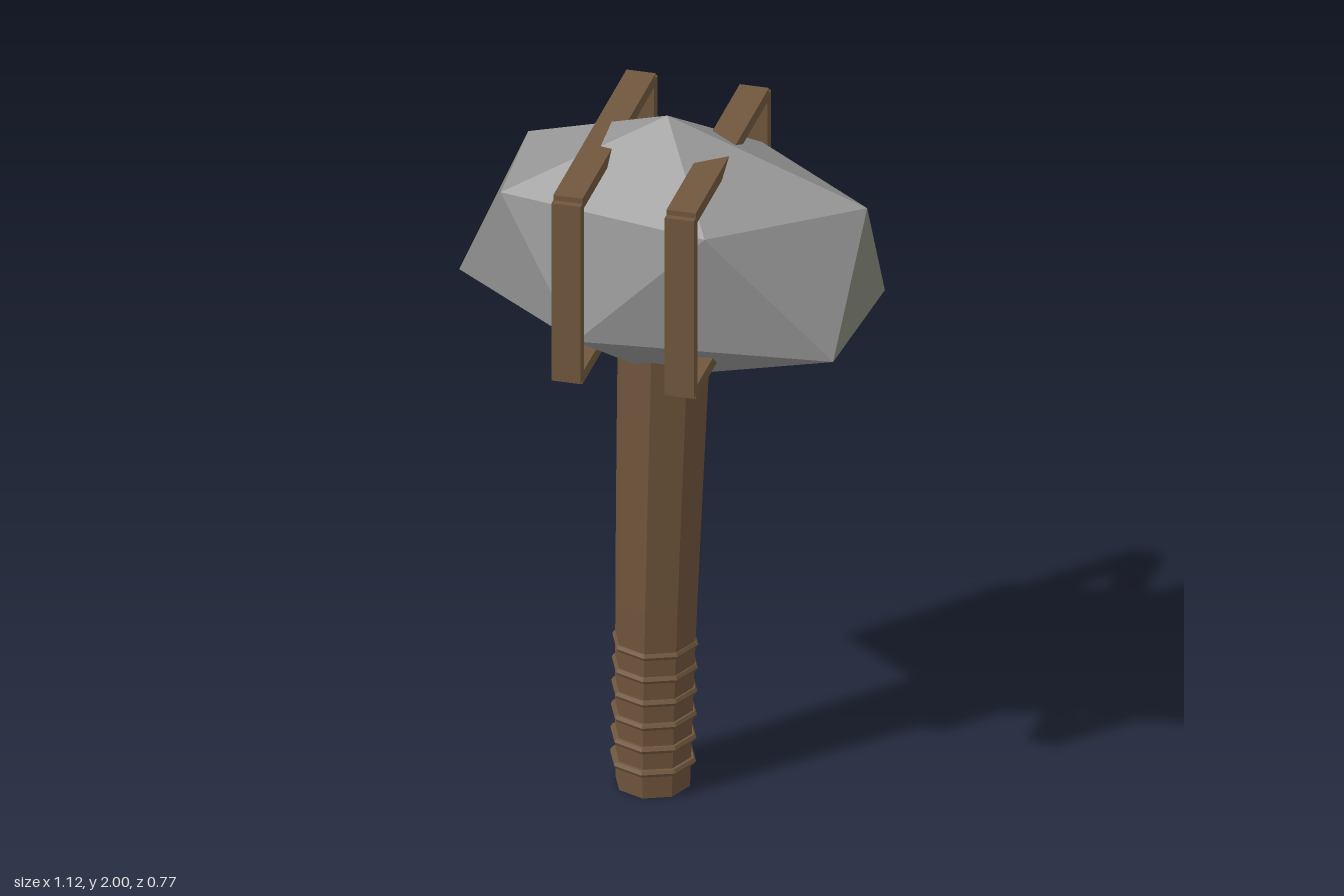
import * as THREE from 'three';

const mat = (name, color) => {
  const m = new THREE.MeshStandardMaterial({ color, flatShading: true });
  m.name = name;
  return m;
};

export function createModel() {
  const stone = mat('grey stone', 0x969696);
  const chipped = mat('mossy stone', 0x86887a);
  const wood = mat('brown wood', 0x70553c);
  const leather = mat('brown leather', 0x71573e);
  const root = new THREE.Group();
  root.name = 'stoneHammer';

  const add = (parent, name, geometry, material, x = 0, y = 0, z = 0) => {
    const mesh = new THREE.Mesh(geometry, material);
    mesh.name = name;
    mesh.position.set(x, y, z);
    parent.add(mesh);
    return mesh;
  };

  // Stone head: two staggered rings of five corners between a peak and a foot
  const peak = [0.01, 2, 0], foot = [0, 1.22, 0];
  const upper = [[-0.4, 1.8, 0.17], [0.19, 1.8, 0.285], [0.557, 1.8, 0], [0.19, 1.8, -0.285], [-0.42, 1.8, -0.18]];
  const lower = [[-0.155, 1.46, 0.31], [0.52, 1.44, 0.205], [0.545, 1.44, -0.22], [-0.155, 1.46, -0.3], [-0.56, 1.46, 0]];
  const body = [], ends = [];
  for (let i = 0; i < 5; i++) {
    const j = (i + 1) % 5;
    body.push(peak, upper[i], upper[j], foot, lower[j], lower[i]);
    // The two end facets have a different tint
    (i === 4 ? ends : body).push(upper[i], lower[i], upper[j]);
    (i === 1 ? ends : body).push(lower[i], lower[j], upper[j]);
  }
  const facets = (corners) => {
    const g = new THREE.BufferGeometry();
    g.setAttribute('position', new THREE.Float32BufferAttribute(corners.flat(), 3));
    g.computeVertexNormals();
    return g;
  };
  const head = new THREE.Group();
  head.name = 'stoneHead';
  add(head, 'headBody', facets(body), stone);
  add(head, 'headEnds', facets(ends), chipped);
  root.add(head);

  // Handle: octagonal shaft, widening and leaning slightly towards the head
  const height = 1.4;
  const centre = (y) => -0.03 + 0.03 * Math.pow(y / 1.3, 1.3);
  const shaft = new THREE.CylinderGeometry(0.128, 0.102, height, 8, 5);
  shaft.translate(0, height / 2, 0);
  const p = shaft.attributes.position;
  for (let i = 0; i < p.count; i++) p.setX(i, p.getX(i) + centre(Math.max(0, p.getY(i))));
  shaft.computeVertexNormals();
  add(root, 'handle', shaft, wood, 0, 0.003, 0);

  // Grip: six cord rings
  const grip = new THREE.Group();
  grip.name = 'grip';
  const cord = new THREE.TorusGeometry(0.107, 0.011, 6, 8).rotateX(Math.PI / 2);
  for (let i = 0; i < 6; i++) {
    const y = 0.08 + i * 0.07;
    add(grip, 'gripRing', cord, leather, centre(y), y, 0);
  }
  root.add(grip);

  // Two rectangular straps around the head
  const bar = new THREE.BoxGeometry(0.08, 0.035, 0.73);
  const post = new THREE.BoxGeometry(0.08, 0.53, 0.035);
  for (const x of [-0.162, 0.148]) {
    const strap = new THREE.Group();
    strap.name = 'strap';
    strap.position.x = x;
    add(strap, 'strapTop', bar, leather, 0, 1.9025, 0);
    add(strap, 'strapBottom', bar, leather, 0, 1.3825, 0);
    for (const s of [-1, 1]) add(strap, 'strapSide', post, leather, 0, 1.64, s * 0.3665);
    root.add(strap);
  }
  return root;
}
